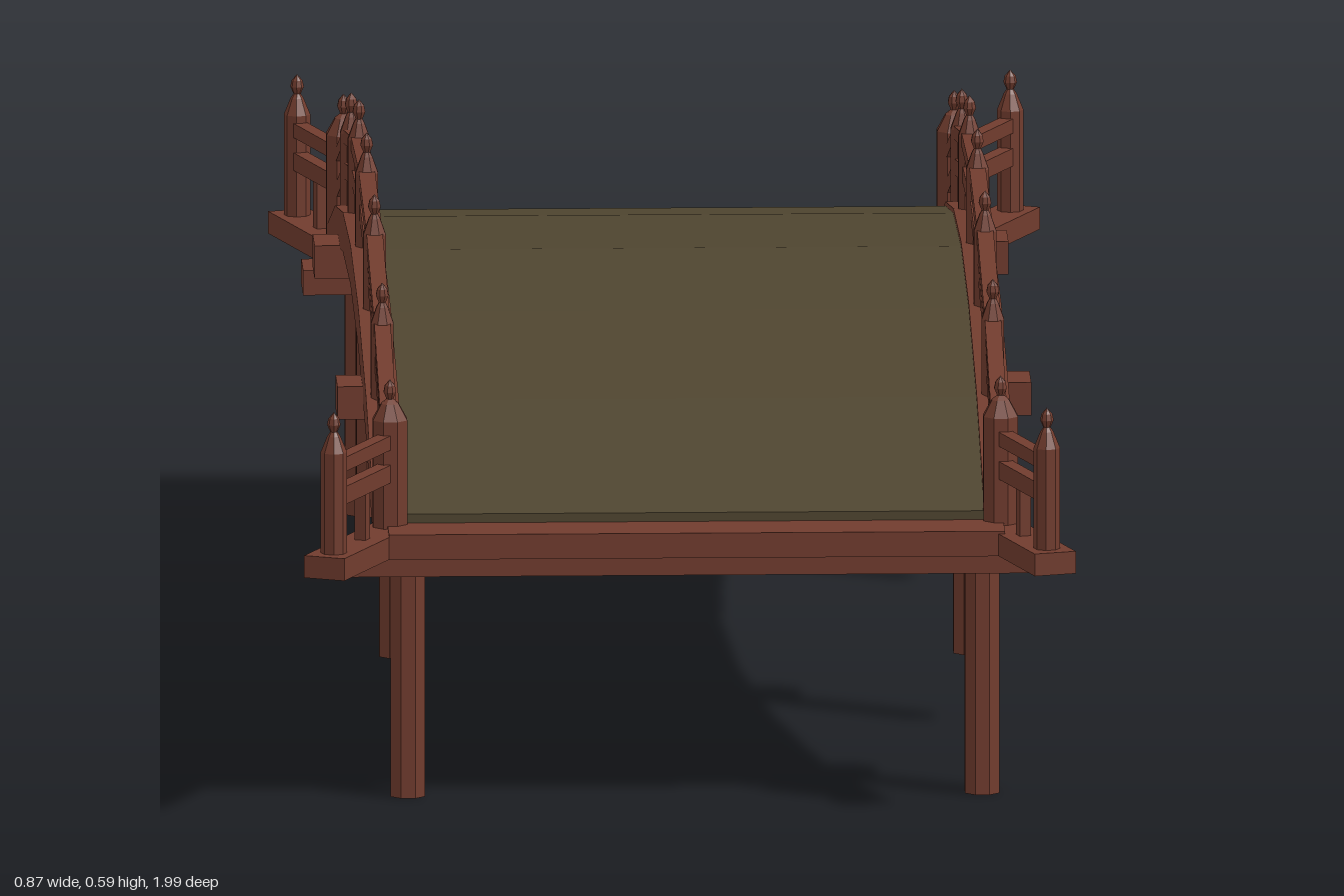
import * as THREE from 'three';

// Arch: distance along z and drop below the crown
const ARCH = [[-0.81, 0.137], [-0.54, 0.062], [-0.27, 0.016], [0, 0], [0.27, 0.016], [0.54, 0.062], [0.81, 0.137]];
const SIDE_X = 0.337;

function drop(z) {
  const a = Math.min(Math.abs(z), 0.81);
  const i = Math.min(3 + Math.floor(a / 0.27), 5);
  const [z0, d0] = ARCH[i], [z1, d1] = ARCH[i + 1];
  return d0 + (d1 - d0) * (a - z0) / (z1 - z0);
}

export function createModel() {
  const group = new THREE.Group();
  const wood = new THREE.MeshStandardMaterial({ color: 0x713c2e, flatShading: true });
  wood.name = 'red brown wood';
  const planks = new THREE.MeshStandardMaterial({ color: 0x4f4530, flatShading: true });
  planks.name = 'olive deck';

  function add(name, geometry, material, x = 0, y = 0, z = 0, parent = group) {
    const mesh = new THREE.Mesh(geometry, material);
    mesh.name = name;
    mesh.position.set(x, y, z);
    parent.add(mesh);
    return mesh;
  }

  const box = (name, w, h, d, x, y, z, parent) =>
    add(name, new THREE.BoxGeometry(w, h, d), wood, x, y, z, parent);

  // Strip that follows the arch, between two heights measured at the crown
  function archStrip(name, x, width, low, high, material) {
    const top = ARCH.map(([z, d]) => new THREE.Vector2(z, high - d));
    const bottom = ARCH.map(([z, d]) => new THREE.Vector2(z, low - d)).reverse();
    const geometry = new THREE.ExtrudeGeometry(new THREE.Shape([...bottom, ...top]), { depth: width, bevelEnabled: false });
    geometry.translate(0, 0, -width / 2);
    geometry.rotateY(-Math.PI / 2);
    return add(name, geometry, material, x);
  }

  // Eight-sided post with a tapered cap and a bud on top
  function post(name, radius, height, x, y, z, parent) {
    const r = radius / Math.cos(Math.PI / 8), h = height;
    const profile = [
      [0, 0], [r, 0], [r, h - 0.045], [r * 0.5, h - 0.027], [0.004, h - 0.022],
      [0.0075, h - 0.014], [0.006, h - 0.007], [0, h],
    ].map(([px, py]) => new THREE.Vector2(px, py));
    const geometry = new THREE.LatheGeometry(profile, 8);
    geometry.rotateY(Math.PI / 8);
    return add(name, geometry, wood, x, y, z, parent);
  }

  // Deck
  archStrip('deck', 0, 2 * SIDE_X - 0.02, 0.43, 0.455, planks);

  for (const sx of [1, -1]) {
    const x = sx * SIDE_X;
    // Side beams and handrails
    archStrip('sideBeam', x, 0.036, 0.416, 0.46, wood);
    archStrip('lowerRail', x, 0.016, 0.49, 0.508, wood);
    archStrip('upperRail', x, 0.018, 0.53, 0.545, wood);

    // Posts along the arch
    for (const z of [-0.54, -0.27, 0, 0.27, 0.54]) {
      post('railPost', 0.0125, 0.147, x, 0.44 - drop(z), z);
    }
    // Short struts in each bay
    for (const z of [-0.675, -0.405, -0.135, 0.135, 0.405, 0.675]) {
      box('railStrut', 0.013, 0.05, 0.013, x, 0.475 - drop(z), z);
    }

    for (const sz of [1, -1]) {
      post('cornerPost', 0.019, 0.19, x, 0.28, sz * 0.81);

      // Splayed wing at each corner
      const endX = sx * (sx === sz ? 0.392 : 0.415);
      const dx = endX - x, dz = sz * 0.175;
      const length = Math.hypot(dx, dz);
      const wing = new THREE.Group();
      wing.name = 'wing';
      wing.position.set(x, 0, sz * 0.81);
      wing.rotation.y = Math.atan2(dx, dz);
      group.add(wing);
      box('wingBeam', 0.048, 0.025, length + 0.01, 0, 0.2925, length / 2 - 0.005, wing);
      box('wingLowerRail', 0.016, 0.02, length - 0.03, 0, 0.367, length / 2 - 0.015, wing);
      box('wingUpperRail', 0.016, 0.016, length - 0.03, 0, 0.402, length / 2 - 0.015, wing);
      box('wingStrut', 0.013, 0.06, 0.013, 0, 0.335, length / 2 - 0.015, wing);
      post('wingPost', 0.0135, 0.16, 0, 0.303, length - 0.028, wing);
    }
  }

  for (const sz of [1, -1]) {
    // End sills
    box('endSill', 0.68, 0.028, 0.07, 0, 0.294, sz * 0.842);
    // Cross beams with their legs
    for (const [z, top, height, foot] of [[0.8, 0.28, 0.028, 0], [0.4, 0.387, 0.037, 0.078]]) {
      box('crossBeam', 0.766, height, 0.066, 0, top - height / 2, sz * z);
      const legHeight = top - height - foot;
      for (const sx of [1, -1]) {
        const r = 0.019 / Math.cos(Math.PI / 8);
        const leg = new THREE.CylinderGeometry(r, r, legHeight, 8);
        leg.rotateY(Math.PI / 8);
        add('leg', leg, wood, sx * 0.317, foot + legHeight / 2, sz * z);
      }
    }
  }

  return group;
}
